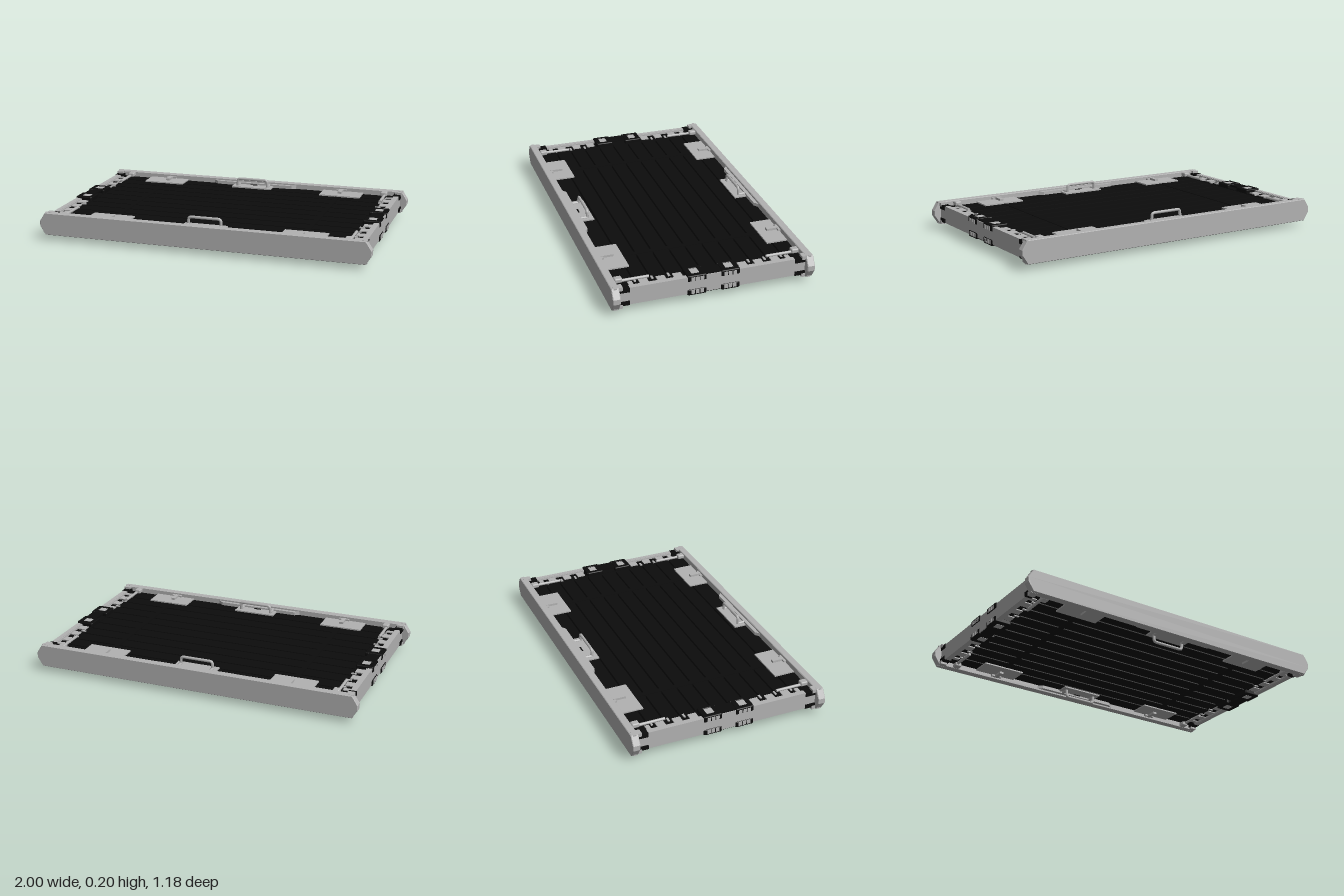
import * as THREE from 'three';
import { RoundedBoxGeometry } from 'three/addons/geometries/RoundedBoxGeometry.js';

export function createModel() {
  const model = new THREE.Group();
  model.name = 'slattedPanel';
  const grey = new THREE.MeshStandardMaterial({ color: 0xb2b2b2 });
  grey.name = 'light grey metal';
  const black = new THREE.MeshStandardMaterial({ color: 0x0c0c0c });
  black.name = 'black plastic';
  const MID = 0.105; // height of the plane of symmetry
  const S = [-1, 1];

  const add = (name, geo, mat, x, y, z) => {
    const m = new THREE.Mesh(geo, mat);
    m.name = name;
    m.position.set(x, y, z);
    model.add(m);
    return m;
  };
  // Repeats a symmetric part about the chosen axes; y is measured from MID
  const repeat = (name, geo, mat, x, y, z) => {
    for (const sx of x ? S : [1]) for (const sy of y ? S : [1]) for (const sz of z ? S : [1])
      add(name, geo, mat, sx * x, MID + sy * y, sz * z);
  };
  const box = (name, mat, w, h, d, x, y, z) =>
    repeat(name, new THREE.BoxGeometry(w, h, d), mat, x, y, z);

  // Long beams with pointed ends
  const outline = new THREE.Shape([
    [-0.965, -0.066], [0.965, -0.066], [0.998, -0.015], [0.998, 0.015],
    [0.965, 0.066], [-0.965, 0.066], [-0.998, 0.015], [-0.998, -0.015],
  ].map(([x, y]) => new THREE.Vector2(x, y)));
  const beam = new THREE.ExtrudeGeometry(outline, {
    depth: 0.036, bevelEnabled: true, bevelThickness: 0.004, bevelSize: 0.003,
    bevelOffset: -0.002, bevelSegments: 1,
  });
  beam.translate(0, 0, -0.018);
  repeat('longBeam', beam, grey, 0, 0, 0.566);

  // Side beams with a narrow inner lip
  box('sideBeam', grey, 0.026, 0.104, 1.09, 0.944, 0, 0);
  box('sideBeamLip', grey, 0.01, 0.012, 1.09, 0.928, 0.044, 0);

  // Black slats separated by narrow open gaps
  const cuts = [-0.544, -0.445, -0.35, -0.252, -0.155, -0.058, 0.043, 0.14, 0.238, 0.335, 0.432, 0.544];
  for (let i = 0; i < cuts.length - 1; i++) {
    const d = cuts[i + 1] - cuts[i] - 0.01;
    box('slat', black, 1.72, 0.07, d, 0, 0, 0);
    model.children[model.children.length - 1].position.z = (cuts[i] + cuts[i + 1]) / 2;
  }
  box('crossBar', black, 0.03, 0.076, 1.08, 0.58, 0, 0);

  // Notched edge strips: black base with grey tabs on both faces
  box('edgeStrip', black, 0.075, 0.076, 1.08, 0.893, 0, 0);
  for (const z of [0.19, 0.285, 0.385]) {
    box('edgeTab', grey, 0.055, 0.006, 0.05, 0.9, 0.041, z);
    box('edgeTabSmall', grey, 0.03, 0.006, 0.012, 0.872, 0.041, z + 0.045);
  }
  box('edgeTabEnd', grey, 0.045, 0.006, 0.026, 0.9, 0.041, 0.46);

  // Mounting plates, each with a small raised clip
  box('cornerPlate', grey, 0.26, 0.008, 0.125, 0.59, 0.041, 0.475);
  box('plateClip', grey, 0.025, 0.016, 0.075, 0.58, 0.05, 0.503);
  box('plateClipBar', grey, 0.065, 0.014, 0.015, 0.58, 0.048, 0.535);
  box('handlePlate', grey, 0.26, 0.008, 0.085, 0, 0.041, 0.49);
  box('handlePlateSlot', black, 0.045, 0.004, 0.018, 0, 0.045, 0.518);

  // Tapered brackets and bent handles on both faces of both beams
  const bracketShape = new THREE.Shape([
    new THREE.Vector2(-0.28, 0), new THREE.Vector2(0.28, 0),
    new THREE.Vector2(0.25, 0.024), new THREE.Vector2(-0.25, 0.024),
  ]);
  const bracket = new THREE.ExtrudeGeometry(bracketShape, { depth: 0.02, bevelEnabled: false });
  bracket.rotateX(-Math.PI / 2).translate(0, -0.01, 0);
  const path = new THREE.CurvePath();
  const p = (x, y, z) => new THREE.Vector3(x, y, z);
  const a = [p(-0.1, 0.04, 0.482), p(-0.098, 0.075, 0.482), p(-0.08, 0.09, 0.482)];
  const b = a.map((v) => p(-v.x, v.y, v.z)).reverse();
  path.add(new THREE.LineCurve3(a[0], a[1]));
  path.add(new THREE.QuadraticBezierCurve3(a[1], p(-0.097, 0.09, 0.482), a[2]));
  path.add(new THREE.LineCurve3(a[2], b[0]));
  path.add(new THREE.QuadraticBezierCurve3(b[0], p(0.097, 0.09, 0.482), b[1]));
  path.add(new THREE.LineCurve3(b[1], b[2]));
  const grip = new THREE.TubeGeometry(path, 60, 0.009, 8);
  const foot = new THREE.CylinderGeometry(0.01, 0.01, 0.05, 8).rotateX(Math.PI / 2);
  for (const front of [0, Math.PI]) for (const under of [0, Math.PI]) {
    const g = new THREE.Group();
    g.name = 'handle';
    g.position.y = MID;
    // Half turns carry the handle to every face
    g.rotation.set(0, front, under);
    const part = (name, geo, x, y, z) => {
      const m = new THREE.Mesh(geo, grey);
      m.name = name;
      m.position.set(x, y, z);
      g.add(m);
    };
    part('grip', grip, 0, 0, 0);
    part('bracket', bracket, 0, 0.045, 0.546);
    for (const s of S) part('handleFoot', foot, s * 0.1, 0.046, 0.505);
    model.add(g);
  }

  // Locking rods and their heads near the corners
  const rod = new THREE.CylinderGeometry(0.009, 0.009, 0.18, 8).rotateX(Math.PI / 2);
  repeat('lockRod', rod, grey, 0.863, 0.047, 0.435);
  repeat('lockRodHead', new RoundedBoxGeometry(0.04, 0.028, 0.045, 2, 0.008), grey, 0.857, 0.053, 0.52);
  box('cornerBlock', black, 0.045, 0.025, 0.065, 0.94, 0.04, 0.515);
  box('cornerLatch', grey, 0.04, 0.022, 0.035, 0.945, 0.055, 0.54);
  box('beamEndLug', grey, 0.04, 0.008, 0.018, 0.95, 0.064, 0.566);
  box('beamPad', black, 0.035, 0.004, 0.03, 0.86, 0.064, 0.565);

  // Black clasps wrapped around the middle of each side beam
  const post = new RoundedBoxGeometry(0.024, 0.036, 0.105, 2, 0.006);
  repeat('claspOuter', post, black, 0.95, 0.043, 0.096);
  repeat('claspInner', post, black, 0.868, 0.043, 0.096);
  const end = new RoundedBoxGeometry(0.1, 0.036, 0.032, 2, 0.006);
  repeat('claspEnd', end, black, 0.91, 0.043, 0.137);
  repeat('claspEnd', end, black, 0.91, 0.043, 0.063);
  box('claspBridge', black, 0.072, 0.01, 0.28, 0.915, 0.053, 0);
  box('claspPlate', grey, 0.046, 0.006, 0.046, 0.908, 0.058, 0.1);
  // Three small grey windows on each clasp's outer face
  for (const z of [0.07, 0.096, 0.122])
    box('claspWindow', grey, 0.004, 0.024, 0.021, 0.962, 0.04, z);

  return model;
}
